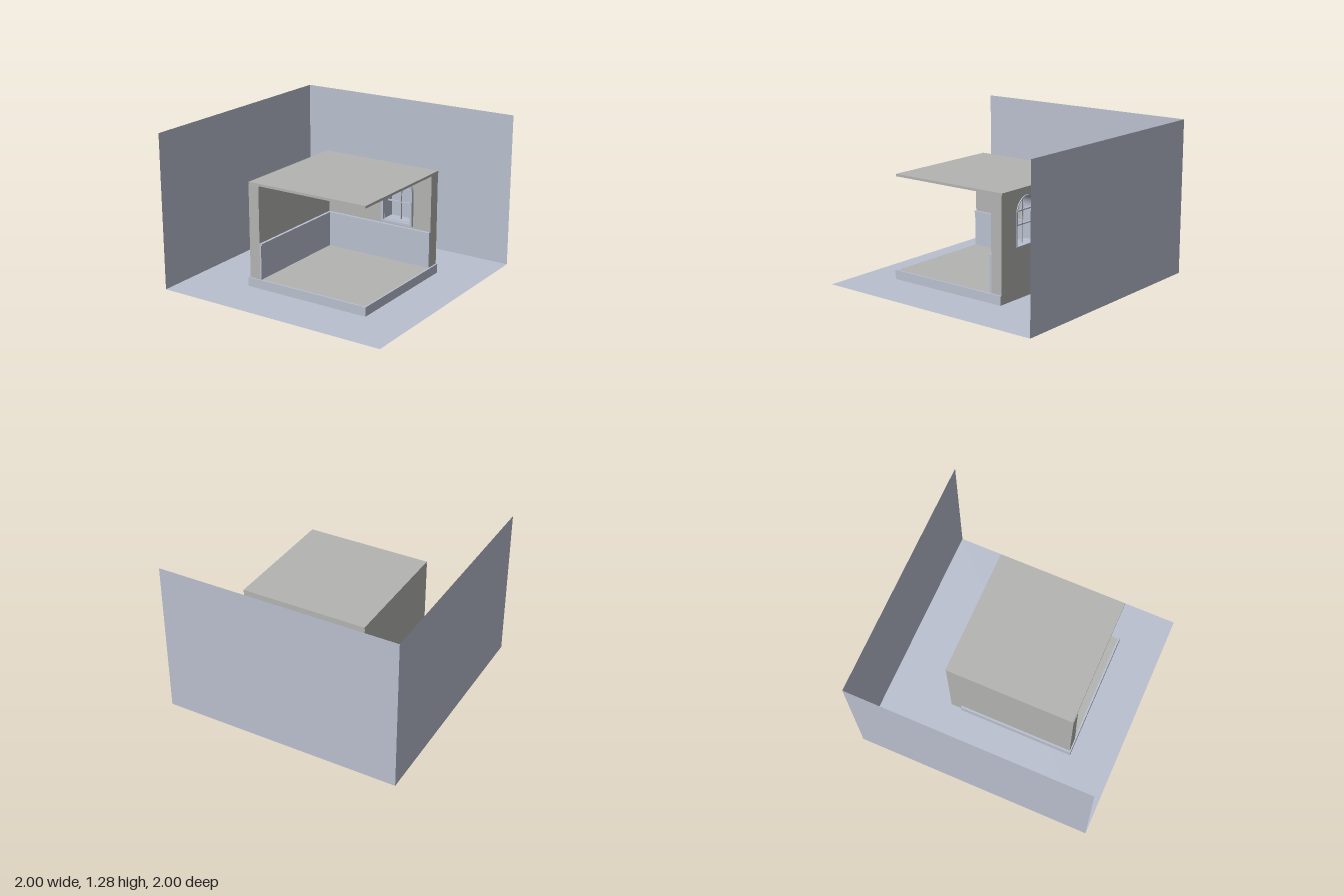
import * as THREE from 'three';

export function createModel() {
  const model = new THREE.Group();
  const blue = new THREE.MeshStandardMaterial({ color: 0xb9bfce, side: THREE.DoubleSide });
  blue.name = 'blueGrey';
  const grey = new THREE.MeshStandardMaterial({ color: 0xb3b3b2 });
  grey.name = 'plasterGrey';

  const add = (name, geometry, material, parent = model) => {
    const mesh = new THREE.Mesh(geometry, material);
    mesh.name = name;
    parent.add(mesh);
    return mesh;
  };
  // Box given by its minimum and maximum corners
  const box = (name, material, [x0, y0, z0], [x1, y1, z1], parent) =>
    add(name, new THREE.BoxGeometry(x1 - x0, y1 - y0, z1 - z0), material, parent)
      .position.set((x0 + x1) / 2, (y0 + y1) / 2, (z0 + z1) / 2);

  // Open backdrop: ground and two thin walls
  const H = 1.28;
  add('ground', new THREE.PlaneGeometry(2, 2).rotateX(-Math.PI / 2), blue);
  add('backdropBack', new THREE.PlaneGeometry(2, H).translate(0, H / 2, -1), blue);
  add('backdropSide', new THREE.PlaneGeometry(2, H).rotateY(Math.PI / 2).translate(-1, H / 2, 0), blue);

  // Room extents: outer faces, inner wall faces
  const L = -0.44, R = 0.63, B = -0.445, F = 0.62, inX = -0.345, inZ = -0.345;
  const floorY = 0.105, ceilY = 0.872;

  // Floor slab with a trim around its exposed edges
  box('floorSlab', grey, [L, 0.03, B], [R, floorY, F]);
  const trim = new THREE.Group();
  trim.name = 'baseTrim';
  model.add(trim);
  box('trimFront', blue, [-0.455, 0.03, F], [0.645, floorY, 0.635], trim);
  box('trimRight', blue, [R, 0.03, B], [0.645, floorY, F], trim);
  box('trimLeft', blue, [-0.455, 0.03, -0.35], [L, floorY, F], trim);

  box('ceiling', grey, [L, ceilY, -0.45], [R, 0.892, F]);
  box('sideWall', grey, [L, floorY, inZ], [inX, ceilY, 0.624]);

  // Arched outline used by the window opening and its frame
  const cx = 0.325, spring = 0.7;
  const arch = (Path, r, bottom) => {
    const p = new Path();
    p.moveTo(cx - r, bottom);
    p.lineTo(cx + r, bottom);
    p.lineTo(cx + r, spring);
    p.absarc(cx, spring, r, 0, Math.PI, false);
    p.closePath();
    return p;
  };
  const extrude = (shape, z0, z1) =>
    new THREE.ExtrudeGeometry(shape, { depth: z1 - z0, bevelEnabled: false, curveSegments: 24 })
      .translate(0, 0, z0);

  // Back wall with arched opening
  const wall = new THREE.Shape([[L, floorY], [R, floorY], [R, ceilY], [L, ceilY]]
    .map(([x, y]) => new THREE.Vector2(x, y)));
  wall.holes.push(arch(THREE.Path, 0.13, 0.437));
  add('backWall', extrude(wall, B, inZ), grey);

  // Window frame, outer lining and glazing bars
  const windowGroup = new THREE.Group();
  windowGroup.name = 'window';
  model.add(windowGroup);
  const ring = (name, r, bottom, width, z0, z1) => {
    const s = arch(THREE.Shape, r, bottom);
    s.holes.push(arch(THREE.Path, r - width, bottom + width));
    add(name, extrude(s, z0, z1), blue, windowGroup);
  };
  ring('windowFrame', 0.144, 0.422, 0.019, inZ, -0.317);
  ring('windowLining', 0.129, 0.438, 0.007, -0.452, inZ);
  box('verticalBar', blue, [cx - 0.005, 0.441, -0.4], [cx + 0.005, 0.824, -0.385], windowGroup);
  for (const y of [0.59, spring])
    box('horizontalBar', blue, [cx - 0.124, y - 0.005, -0.4], [cx + 0.124, y + 0.005, -0.385], windowGroup);

  // Wainscot panels with a thin cap rail
  const wainscot = new THREE.Group();
  wainscot.name = 'wainscot';
  model.add(wainscot);
  box('sidePanel', blue, [inX, floorY, inZ], [-0.331, 0.39, 0.624], wainscot);
  box('backPanel', blue, [-0.331, floorY, inZ], [R, 0.39, -0.327], wainscot);
  box('sideCap', blue, [inX, 0.39, inZ], [-0.322, 0.404, 0.624], wainscot);
  box('backCap', blue, [-0.322, 0.39, inZ], [R, 0.404, -0.32], wainscot);

  return model;
}
